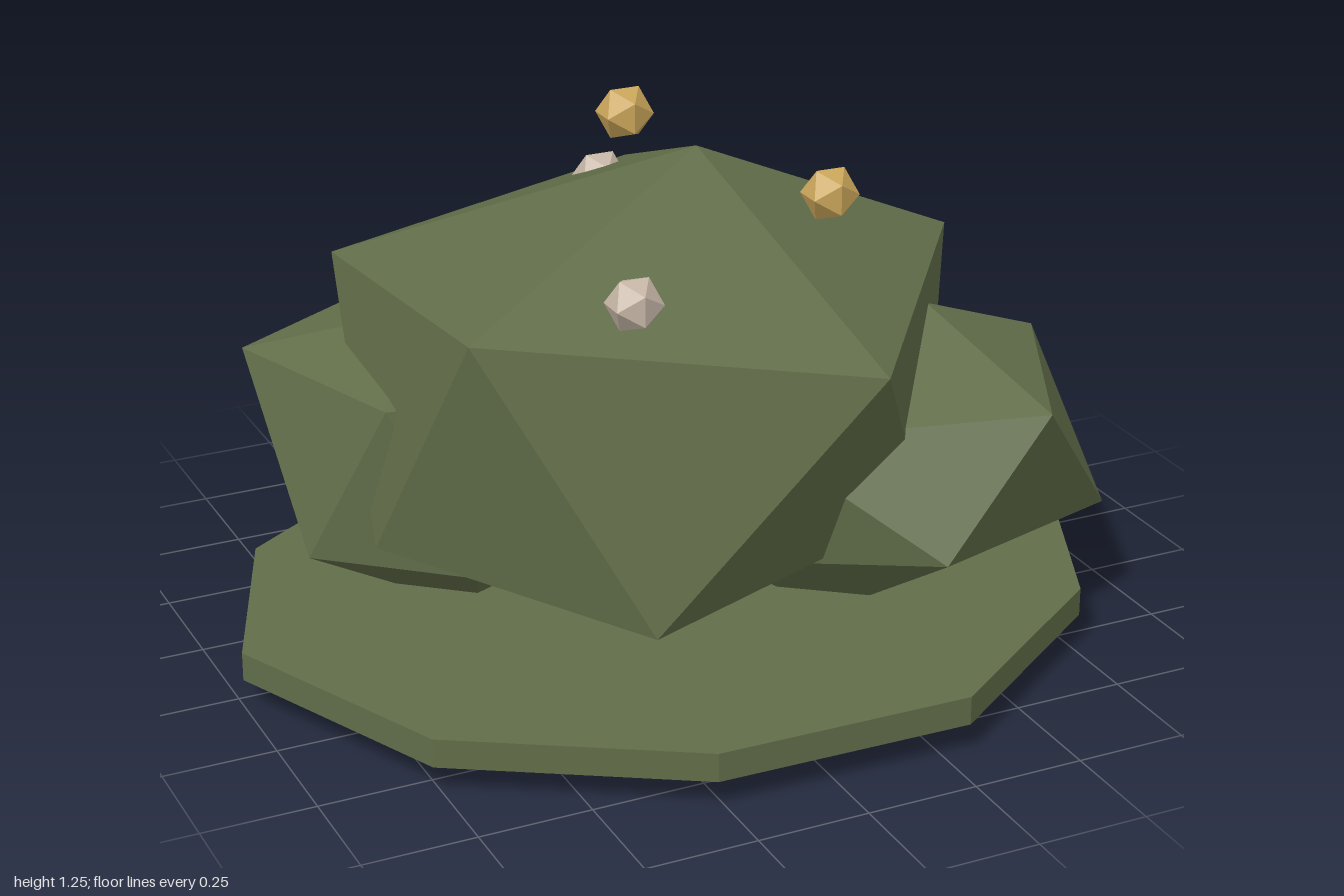
import * as THREE from 'three';

const leafGreen = new THREE.MeshStandardMaterial({ name: 'leafGreen', color: 0x616d49, flatShading: true });
const gold = new THREE.MeshStandardMaterial({ name: 'gold', color: 0xc9a55a, flatShading: true });
const paleBlossom = new THREE.MeshStandardMaterial({ name: 'paleBlossom', color: 0xc6b6a6, flatShading: true });

// Irregular 20-sided clump: apex, ring of five, lower ring of five (each between two upper ones), bottom tip
function clumpGeometry(top, upper, lower, bottom) {
  const pos = [];
  const face = (...corners) => corners.forEach((c) => pos.push(...c));
  for (let i = 0; i < 5; i++) {
    const j = (i + 1) % 5;
    face(top, upper[j], upper[i]);
    face(upper[i], upper[j], lower[i]);
    face(lower[i], upper[j], lower[j]);
    face(bottom, lower[i], lower[j]);
  }
  const geo = new THREE.BufferGeometry();
  geo.setAttribute('position', new THREE.Float32BufferAttribute(pos, 3));
  geo.computeVertexNormals();
  return geo;
}

const clumps = [
  {
    name: 'mainClump',
    top: [0.09, 1.1, 0],
    upper: [[0.68, 0.85, 0.06], [0.23, 0.77, 0.63], [-0.58, 0.87, 0.33], [-0.61, 0.83, -0.4], [0.2, 0.87, -0.61]],
    lower: [[0.45, 0.33, 0.4], [-0.27, 0.25, 0.57], [-0.7, 0.33, 0.07], [-0.15, 0.3, -0.56], [0.56, 0.24, -0.17]],
    bottom: [0.03, 0.03, 0.1],
  },
  {
    name: 'frontClump',
    top: [0.53, 0.75, 0.25],
    upper: [[0.82, 0.64, 0.22], [0.62, 0.62, 0.64], [0.05, 0.57, 0.4], [0.2, 0.6, 0], [0.58, 0.64, -0.08]],
    lower: [[0.89, 0.28, 0.44], [0.36, 0.33, 0.67], [0.02, 0.25, 0.3], [0.2, 0.25, -0.05], [0.7, 0.33, -0.12]],
    bottom: [0.33, 0.01, 0.19],
  },
  {
    name: 'sideClump',
    top: [-0.5, 0.72, -0.25],
    upper: [[-0.05, 0.6, -0.2], [-0.3, 0.65, 0.15], [-0.66, 0.63, 0.05], [-0.82, 0.63, -0.42], [-0.28, 0.68, -0.63]],
    lower: [[-0.15, 0.3, 0.05], [-0.5, 0.25, 0.15], [-0.8, 0.26, -0.08], [-0.4, 0.2, -0.55], [-0.1, 0.25, -0.3]],
    bottom: [-0.37, 0, -0.18],
  },
  {
    name: 'backClump',
    top: [0.05, 0.72, -0.4],
    upper: [[0.38, 0.54, -0.38], [0.2, 0.62, -0.1], [-0.15, 0.6, -0.1], [-0.3, 0.62, -0.52], [0.12, 0.65, -0.73]],
    lower: [[0.3, 0.22, -0.2], [0, 0.2, -0.05], [-0.3, 0.22, -0.2], [-0.04, 0.2, -0.56], [0.26, 0.2, -0.56]],
    bottom: [0.05, 0.1, -0.35],
  },
];

export function createModel() {
  const model = new THREE.Group();
  model.name = 'bush';
  const add = (name, geometry, material) => {
    const mesh = new THREE.Mesh(geometry, material);
    mesh.name = name;
    model.add(mesh);
    return mesh;
  };

  // Uneven ten-sided ground plate
  const outline = [
    [1, 0.04], [0.78, 0.54], [0.31, 0.87], [-0.27, 0.86], [-0.77, 0.56],
    [-1, 0.04], [-0.81, -0.43], [-0.27, -0.78], [0.34, -0.88], [0.82, -0.5],
  ].map(([x, z]) => new THREE.Vector2(x, z));
  const plate = new THREE.ExtrudeGeometry(new THREE.Shape(outline), { depth: 0.065, bevelEnabled: false });
  plate.rotateX(Math.PI / 2).translate(0, 0.13, 0);
  add('groundPlate', plate, leafGreen);

  // Leaf clumps
  for (const c of clumps) add(c.name, clumpGeometry(c.top, c.upper, c.lower, c.bottom), leafGreen);

  // Small faceted blossoms around the crown
  const blossoms = [
    ['topBlossom', gold, -0.08, 1.2, 0],
    ['frontBlossom', gold, 0.255, 1.065, 0.305],
    ['paleFrontBlossom', paleBlossom, -0.245, 0.935, 0.405],
    ['paleBackBlossom', paleBlossom, 0.04, 0.91, -0.4],
  ];
  for (const [name, material, x, y, z] of blossoms) {
    add(name, new THREE.IcosahedronGeometry(0.063, 0), material).position.set(x, y, z);
  }
  return model;
}
